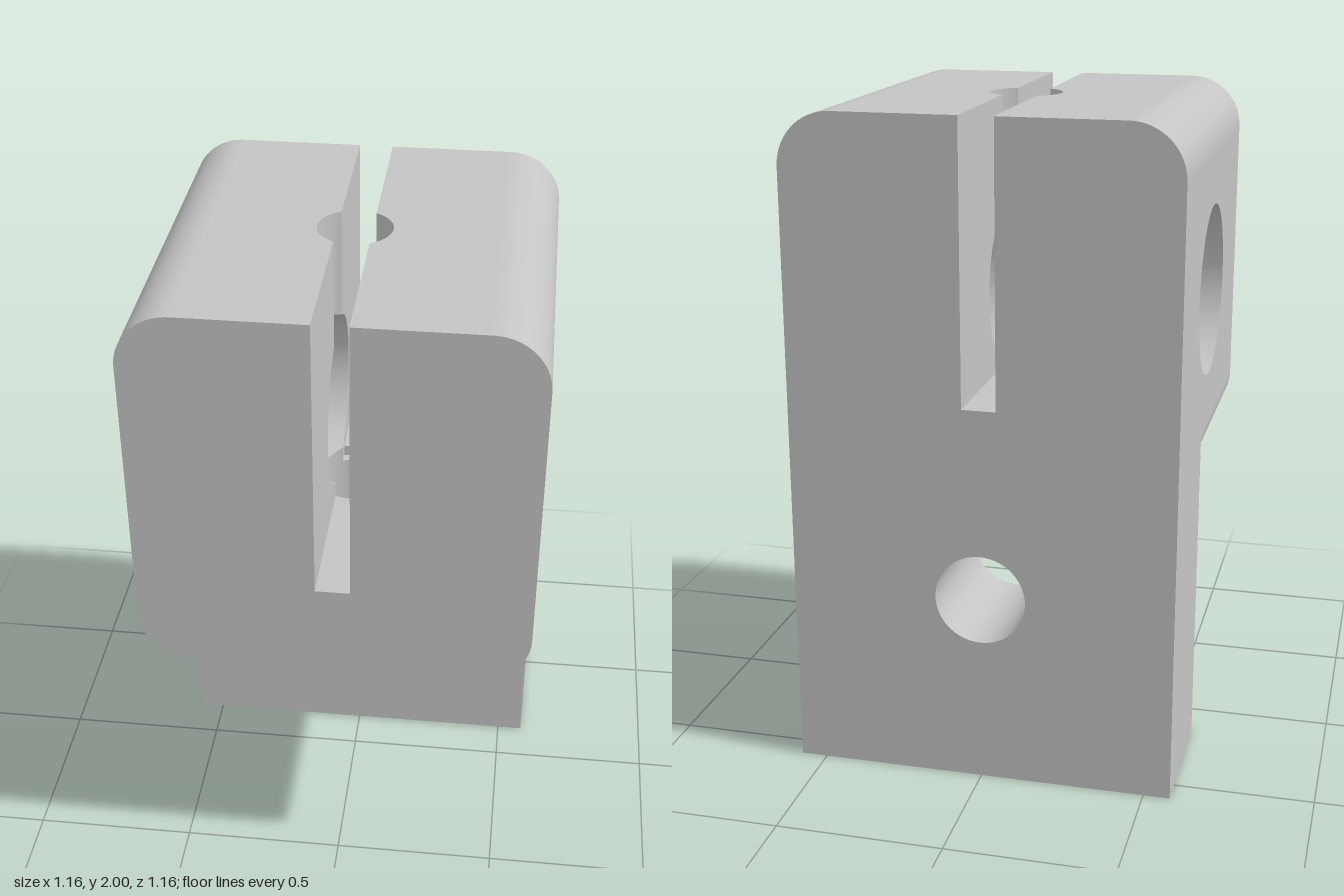
import * as THREE from 'three';

const H = 0.58;                 // half width and half depth
const TOP = 2, LOW = 0.84;      // clamp head top and underside
const R = 0.16;                 // head corner radius
const LEG = -0.133;             // front face of the leg
const S = 0.051;                // half width of the slot
const FLOOR = 1.13, STEP = 1.165; // slot floor, front and back
const BORE = 0.261, BY = 1.42;  // cross bore
const PIN = 0.11;               // vertical hole
const SCREW = 0.137, SY = 0.58; // hole in the leg
const ZC = Math.sqrt(PIN * PIN - S * S); // where the slot walls meet the vertical hole
const PI = Math.PI;

export function createModel() {
  const group = new THREE.Group();
  const grey = new THREE.MeshStandardMaterial({ color: 0xc4c4c4, side: THREE.DoubleSide });
  grey.name = 'grey metal';

  const add = (name, geometry) => {
    geometry.computeVertexNormals();
    const mesh = new THREE.Mesh(geometry, grey);
    mesh.name = name;
    group.add(mesh);
  };

  // Flat face: a 2D shape laid into space by map(u, v)
  const face = (name, shape, map) => {
    const g = new THREE.ShapeGeometry(shape, 48);
    const p = g.attributes.position;
    for (let i = 0; i < p.count; i++) p.setXYZ(i, ...map(p.getX(i), p.getY(i)));
    add(name, g);
  };

  // Ruled surface between two curves a(t) and b(t), t = 0..1
  const ruled = (name, a, b, n = 64) => {
    const pos = [], index = [];
    for (let i = 0; i <= n; i++) {
      pos.push(...a(i / n), ...b(i / n));
      const k = 2 * i;
      if (i < n) index.push(k, k + 1, k + 2, k + 1, k + 3, k + 2);
    }
    const g = new THREE.BufferGeometry();
    g.setAttribute('position', new THREE.Float32BufferAttribute(pos, 3));
    g.setIndex(index);
    add(name, g);
  };

  const poly = (...pts) => new THREE.Shape(pts.map(([x, y]) => new THREE.Vector2(x, y)));
  const rect = (x0, y0, x1, y1) => poly([x0, y0], [x1, y0], [x1, y1], [x0, y1]);
  const hole = (shape, y, r) => {
    shape.holes.push(new THREE.Path().absarc(0, y, r, 0, 2 * PI, true));
    return shape;
  };
  const atZ = z => (x, y) => [x, y, z];
  const atY = y => (x, z) => [x, y, z];
  const atX = x => (z, y) => [x, y, z];

  // Slotted outline with rounded top; the foot is rounded or square
  const outline = (floor, rounded) => {
    const c = H - R;
    const s = poly([-S, TOP], [-S, floor], [S, floor], [S, TOP], [c, TOP]);
    s.absarc(c, TOP - R, R, PI / 2, 0, true);
    if (rounded) {
      s.absarc(c, LOW + R, R, 0, -PI / 2, true);
      s.absarc(-c, LOW + R, R, -PI / 2, -PI, true);
    } else {
      s.lineTo(H, 0);
      s.lineTo(-H, 0);
    }
    s.absarc(-c, TOP - R, R, PI, PI / 2, true);
    return s;
  };
  face('headFront', outline(FLOOR, true), atZ(H));
  face('back', hole(outline(STEP, false), SY, SCREW), atZ(-H));

  // Leg front, cut to the rounded underside of the head
  const leg = poly([-H, 0], [H, 0], [H, LOW + R]);
  leg.absarc(H - R, LOW + R, R, 0, -PI / 2, true);
  leg.absarc(R - H, LOW + R, R, -PI / 2, -PI, true);
  face('legFront', hole(leg, SY, SCREW), atZ(LEG));
  face('legBottom', rect(-H, -H, H, LEG), atY(0));
  face('headUnderside', hole(rect(R - H, LEG, H - R, H), 0, PIN), atY(LOW));

  const beta = Math.atan2(ZC, S), alpha = Math.acos(ZC / BORE);
  const boreY = z => Math.sqrt(BORE * BORE - z * z);

  for (const [side, m] of [['left', 1], ['right', -1]]) {
    // Outer side with the bore opening
    face(side + 'Side', hole(poly([-H, 0], [LEG, 0], [LEG, LOW + R], [H, LOW + R],
      [H, TOP - R], [-H, TOP - R]), BY, BORE), atX(m * H));

    // Top face, bitten by the vertical hole
    const top = poly([S, -H], [H - R, -H], [H - R, H], [S, H], [S, ZC]);
    top.absarc(0, 0, PIN, beta, -beta, true);
    face(side + 'Top', top, (x, z) => [m * x, TOP, z]);

    // Rounded long edges
    const corner = (y, dir, z) => t => [m * (H - R + R * Math.cos(t * PI / 2)),
      y + dir * R * Math.sin(t * PI / 2), z];
    ruled(side + 'TopRound', corner(TOP - R, 1, -H), corner(TOP - R, 1, H), 24);
    ruled(side + 'BottomRound', corner(LOW + R, -1, LEG), corner(LOW + R, -1, H), 24);

    // Slot walls in front of and behind the vertical hole
    const wallFront = poly([ZC, TOP], [H, TOP], [H, FLOOR], [ZC, FLOOR]);
    wallFront.absarc(0, BY, BORE, -alpha, alpha, false);
    face(side + 'SlotWallFront', wallFront, atX(m * S));
    const wallBack = poly([-ZC, TOP], [-H, TOP], [-H, STEP], [LEG, STEP], [LEG, FLOOR], [-ZC, FLOOR]);
    wallBack.absarc(0, BY, BORE, PI + alpha, PI - alpha, true);
    face(side + 'SlotWallBack', wallBack, atX(m * S));

    // Cross bore, starting at the slot or at the vertical hole
    const bore = inner => t => {
      const z = BORE * Math.cos(t * 2 * PI), y = BY + BORE * Math.sin(t * 2 * PI);
      const x = inner ? Math.max(S, Math.sqrt(Math.max(0, PIN * PIN - z * z))) : H;
      return [m * x, y, z];
    };
    ruled(side + 'Bore', bore(true), bore(false), 128);

    // Vertical hole walls above and below the bore
    const pin = height => t => {
      const a = beta * (2 * t - 1), z = PIN * Math.sin(a);
      return [m * PIN * Math.cos(a), height(z), z];
    };
    ruled(side + 'PinHoleUpper', pin(z => BY + boreY(z)), pin(() => TOP), 32);
    ruled(side + 'PinHoleLower', pin(() => FLOOR), pin(z => BY - boreY(z)), 32);
  }

  // Slot floor with its step
  const floorFront = poly([-S, H], [S, H], [S, ZC]);
  floorFront.absarc(0, 0, PIN, beta, PI - beta, false);
  face('slotFloorFront', floorFront, atY(FLOOR));
  const floorMiddle = poly([-S, LEG], [S, LEG], [S, -ZC]);
  floorMiddle.absarc(0, 0, PIN, -beta, beta - PI, true);
  face('slotFloorMiddle', floorMiddle, atY(FLOOR));
  face('slotStep', rect(-S, FLOOR, S, STEP), atZ(LEG));
  face('slotFloorBack', rect(-S, -H, S, LEG), atY(STEP));

  // Full round holes: below the slot and through the leg
  const pinRing = y => t => [PIN * Math.cos(t * 2 * PI), y, PIN * Math.sin(t * 2 * PI)];
  ruled('pinHoleBase', pinRing(LOW), pinRing(FLOOR));
  const screwRing = z => t => [SCREW * Math.cos(t * 2 * PI), SY + SCREW * Math.sin(t * 2 * PI), z];
  ruled('screwHole', screwRing(-H), screwRing(LEG));

  return group;
}
